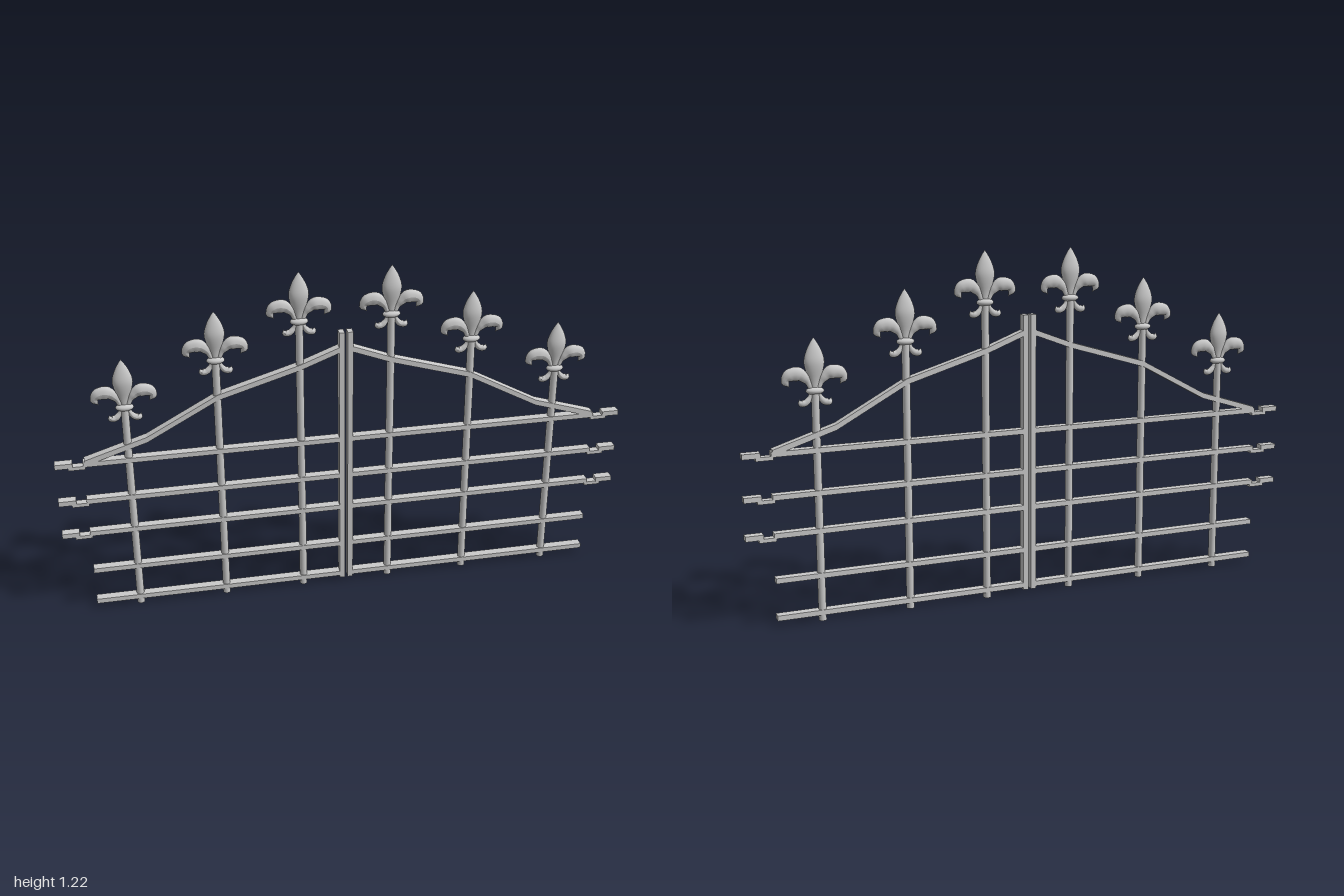
import * as THREE from 'three';

const material = new THREE.MeshStandardMaterial({ color: 0xcccccc });

function add(parent, name, geometry, x = 0, y = 0, z = 0) {
  const mesh = new THREE.Mesh(geometry, material);
  mesh.name = name;
  mesh.position.set(x, y, z);
  parent.add(mesh);
  return mesh;
}

// Tube along a flat path whose radius follows a list, flattened in z
function taperedTube(path, radii, flatten) {
  const curve = new THREE.CatmullRomCurve3(path.map(([x, y]) => new THREE.Vector3(x, y, 0)));
  const rings = 24, sides = 12;
  const geometry = new THREE.TubeGeometry(curve, rings, 1, sides);
  const pos = geometry.attributes.position;
  const v = new THREE.Vector3();
  for (let i = 0; i <= rings; i++) {
    const centre = curve.getPointAt(i / rings);
    const f = (i / rings) * (radii.length - 1);
    const k = Math.min(Math.floor(f), radii.length - 2);
    const r = THREE.MathUtils.lerp(radii[k], radii[k + 1], THREE.MathUtils.smoothstep(f - k, 0, 1));
    for (let j = 0; j <= sides; j++) {
      const n = i * (sides + 1) + j;
      v.fromBufferAttribute(pos, n).sub(centre).multiplyScalar(r);
      v.z *= flatten;
      v.add(centre);
      pos.setXYZ(n, v.x, v.y, v.z);
    }
  }
  geometry.computeVertexNormals();
  return geometry;
}

// Lily-shaped finial with its tip at the group's origin
function createFinial() {
  const finial = new THREE.Group();
  finial.name = 'finial';

  const outline = new THREE.SplineCurve([
    [0.009, -0.18], [0.016, -0.145], [0.03, -0.105], [0.034, -0.075],
    [0.025, -0.043], [0.011, -0.016], [0, 0],
  ].map(([x, y]) => new THREE.Vector2(x, y))).getPoints(20);
  outline[outline.length - 1].x = 0;
  add(finial, 'spear', new THREE.LatheGeometry(outline, 20)).scale.z = 0.58;

  const collar = add(finial, 'collar', new THREE.SphereGeometry(1, 20, 12), 0, -0.176, 0);
  collar.scale.set(0.031, 0.013, 0.018);

  for (const s of [-1, 1]) {
    const petal = [[0.01, -0.175], [0.024, -0.142], [0.05, -0.119], [0.08, -0.119], [0.097, -0.136], [0.083, -0.161]];
    add(finial, 'sidePetal', taperedTube(petal.map(([x, y]) => [s * x, y]),
      [0.008, 0.01, 0.017, 0.024, 0.022, 0.014, 0], 0.68));
    const curl = [[0.01, -0.178], [0.018, -0.198], [0.032, -0.214], [0.048, -0.214], [0.054, -0.2]];
    add(finial, 'lowerCurl', taperedTube(curl.map(([x, y]) => [s * x, y]),
      [0.007, 0.008, 0.011, 0.012, 0], 0.8));
  }
  return finial;
}

export function createModel() {
  const gate = new THREE.Group();
  gate.name = 'doubleGate';
  const depth = 0.031;
  const posts = [[0.157, 1.222], [0.44, 1.106], [0.75, 0.963]];
  const rails = [0.03, 0.16, 0.315, 0.445, 0.59];
  const archLine = [[0.02, 0.935], [0.157, 0.882], [0.44, 0.797], [0.685, 0.663], [0.9, 0.595]];

  for (const s of [-1, 1]) {
    const leaf = new THREE.Group();
    leaf.name = s > 0 ? 'leftLeaf' : 'rightLeaf';
    gate.add(leaf);

    // Meeting stile
    add(leaf, 'stile', new THREE.BoxGeometry(0.019, 0.985, depth), s * 0.0145, 0.505, 0);

    // Round posts and their finials
    for (const [x, top] of posts) {
      const height = top - 0.175;
      add(leaf, 'post', new THREE.CylinderGeometry(0.0135, 0.0135, height, 16), s * x, height / 2, 0);
      const finial = createFinial();
      finial.position.set(s * x, top, 0);
      leaf.add(finial);
    }

    // Rails, with stepped hinges on the upper three
    rails.forEach((y, i) => {
      add(leaf, 'rail', new THREE.BoxGeometry(0.885, 0.018, depth), s * 0.4625, y, 0);
      if (i < 2) return;
      add(leaf, 'hingeLink', new THREE.BoxGeometry(0.058, 0.013, depth - 0.005), s * 0.926, y - 0.0125, 0);
      add(leaf, 'hingeEnd', new THREE.BoxGeometry(0.06, 0.018, depth), s * 0.97, y, 0);
    });

    // Sloping top rail
    const half = 0.01;
    const edge = [...archLine.map(([x, y]) => [x, y + half]),
      ...archLine.map(([x, y]) => [x, y - half]).reverse()];
    const shape = new THREE.Shape(edge.map(([x, y]) => new THREE.Vector2(s * x, y)));
    add(leaf, 'topRail', new THREE.ExtrudeGeometry(shape, { depth, bevelEnabled: false }), 0, 0, -depth / 2);
  }
  return gate;
}
